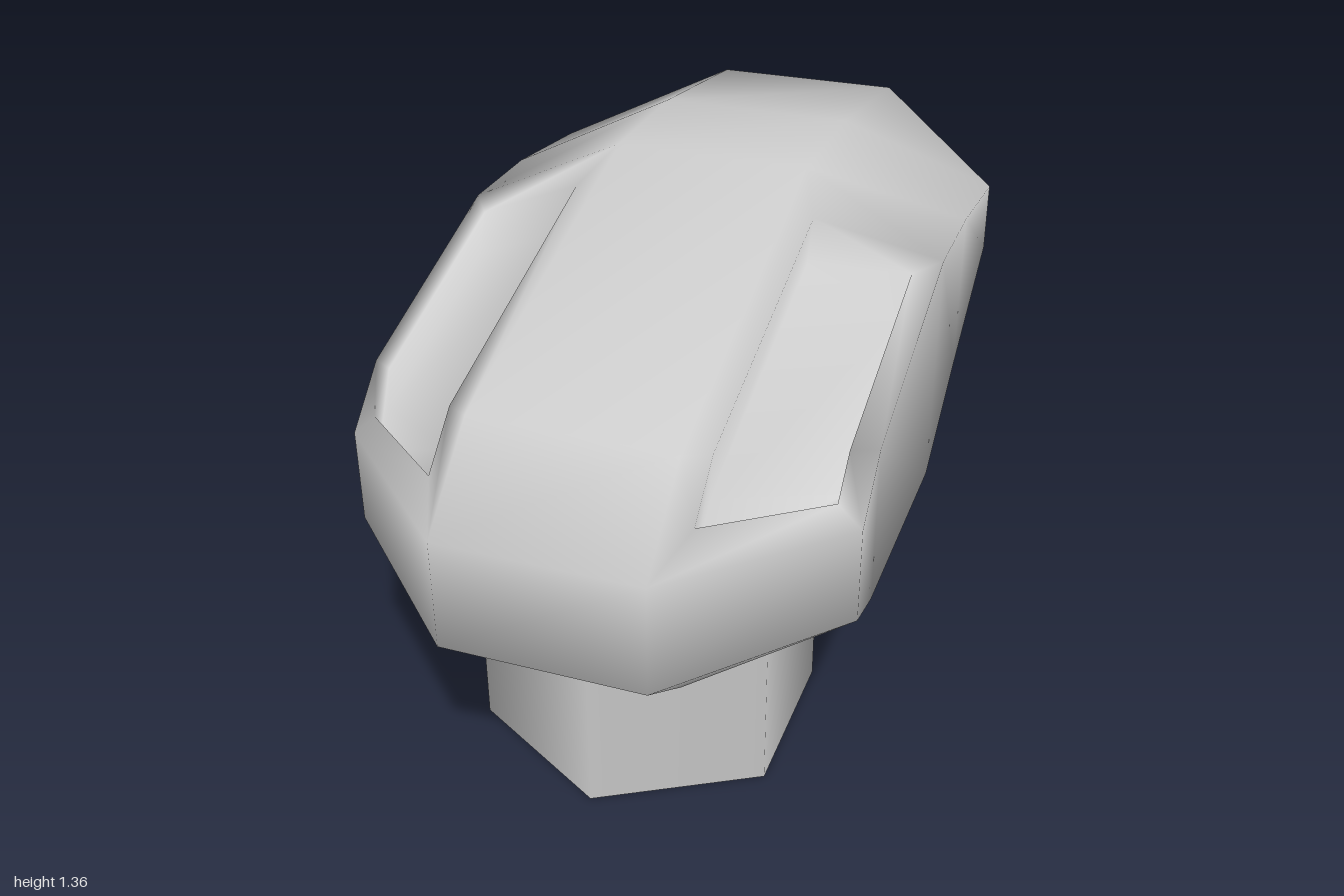
import * as THREE from 'three';
import { mergeVertices } from 'three/addons/utils/BufferGeometryUtils.js';

// Stations from front to back: z, top y, bottom y
const INNER = [[1, 0.86, 0.58], [0.79, 1.06, 0.44], [-0.13, 1.36, 0.44], [-0.49, 1.36, 0.72], [-1, 1.29, 0.97]];
const OUTER = [[0.66, 0.87, 0.63], [0.53, 1.0, 0.6], [-0.05, 1.2, 0.6], [-0.32, 1.2, 0.78], [-0.66, 1.16, 0.98]];
const X_INNER = 0.25, X_OUTER = 0.62;

// Point on the bevel: s runs from inner to outer edge, t is the station, row 1 = top, 2 = bottom
function point(s, t, row) {
  const i = Math.min(Math.floor(t), 3), f = t - i;
  const at = (rows, k) => THREE.MathUtils.lerp(rows[i][k], rows[i + 1][k], f);
  const mix = k => THREE.MathUtils.lerp(at(INNER, k), at(OUTER, k), s);
  return [THREE.MathUtils.lerp(X_INNER, X_OUTER, s), mix(0), mix(row)];
}
const top = (s, t) => { const [x, z, y] = point(s, t, 1); return [x, y, z]; };
const bottom = (s, t) => { const [x, z, y] = point(s, t, 2); return [x, y, z]; };
const flip = ([x, y, z]) => [-x, y, z];

function headGeometry() {
  const positions = [];
  const quad = (a, b, c, d) => positions.push(...a, ...b, ...c, ...a, ...c, ...d);
  const pair = (a, b, c, d) => {
    quad(a, b, c, d);
    quad(flip(d), flip(c), flip(b), flip(a));
  };

  for (let t = 0; t < 4; t++) {
    const u = t + 1;
    // Middle strips, side walls and bevels
    quad(flip(top(0, t)), top(0, t), top(0, u), flip(top(0, u)));
    quad(bottom(0, t), flip(bottom(0, t)), flip(bottom(0, u)), bottom(0, u));
    pair(top(1, t), bottom(1, t), bottom(1, u), top(1, u));
    pair(bottom(1, t), bottom(0, t), bottom(0, u), bottom(1, u));
    if (t >= 2) pair(top(0, t), top(1, t), top(1, u), top(0, u));
  }

  // Front and back ends
  quad(flip(bottom(0, 0)), bottom(0, 0), top(0, 0), flip(top(0, 0)));
  quad(bottom(0, 4), flip(bottom(0, 4)), flip(top(0, 4)), top(0, 4));
  pair(bottom(0, 0), bottom(1, 0), top(1, 0), top(0, 0));
  pair(bottom(1, 4), bottom(0, 4), top(0, 4), top(1, 4));

  // Inset recesses: outer loop, rim loop and sunken floor loop, going round the opening
  const loop = [[0, 0], [1, 0], [1, 1], [1, 2], [0, 2], [0, 1]];
  const frame = loop.map(([s, t]) => top(s, t));
  const rim = loop.map(([s, t]) => top(s ? 0.84 : 0.16, [0.4, 1, 1.85][t]));
  const floor = rim.map(([x, y, z], i) => [x, y - 0.1, z + [0, 0.02, 0.04][loop[i][1]]]);
  for (let i = 0; i < 6; i++) {
    const j = (i + 1) % 6;
    pair(frame[i], frame[j], rim[j], rim[i]);
    pair(rim[i], rim[j], floor[j], floor[i]);
  }
  pair(floor[0], floor[1], floor[2], floor[5]);
  pair(floor[5], floor[2], floor[3], floor[4]);

  const geometry = new THREE.BufferGeometry();
  geometry.setAttribute('position', new THREE.Float32BufferAttribute(positions, 3));
  const merged = mergeVertices(geometry, 1e-4);
  merged.computeVertexNormals();
  return merged;
}

export function createModel() {
  const group = new THREE.Group();
  group.name = 'model';

  const head = new THREE.Mesh(headGeometry(), new THREE.MeshStandardMaterial({ color: 0xcccccc }));
  head.name = 'head';
  group.add(head);

  // Open six-sided neck
  const neck = new THREE.Mesh(
    new THREE.CylinderGeometry(0.44, 0.44, 0.56, 6, 1, true),
    new THREE.MeshStandardMaterial({ color: 0xcccccc, side: THREE.DoubleSide })
  );
  neck.name = 'neck';
  neck.position.set(0, 0.28, 0.325);
  group.add(neck);

  return group;
}
